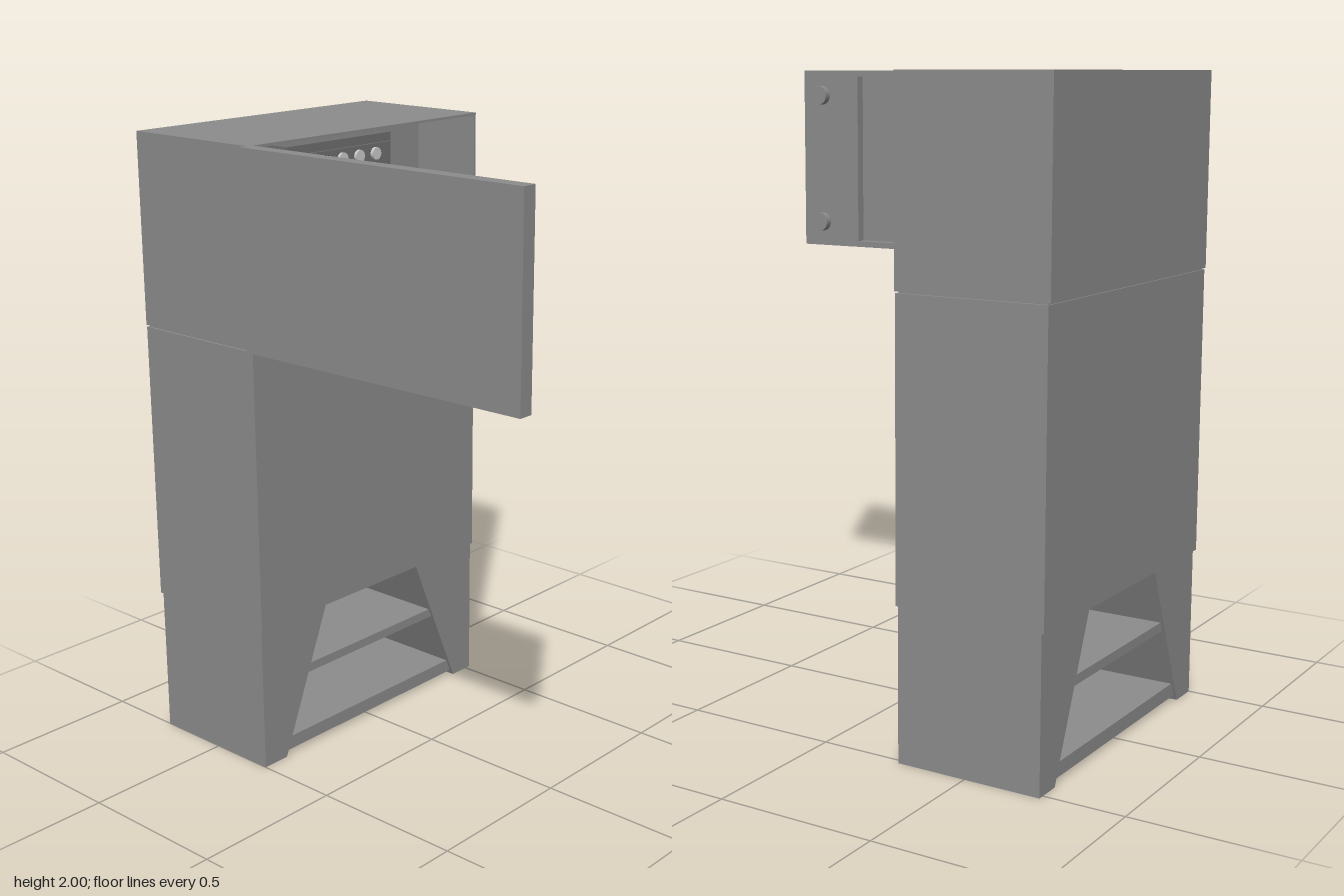
import * as THREE from 'three';

const mat = (color) => new THREE.MeshStandardMaterial({ color });
const M = {
  body: mat(0x8c8c8c), panel: mat(0x707070), light: mat(0xcccccc), black: mat(0x2a2a2a),
  green: mat(0x3f8a1c), red: mat(0xc0392b), yellow: mat(0x9a8a10),
};

function add(parent, name, geometry, material) {
  const mesh = new THREE.Mesh(geometry, material);
  mesh.name = name;
  parent.add(mesh);
  return mesh;
}

// Box given by its limits on each axis
function box(parent, name, x0, x1, y0, y1, z0, z1, material = M.body) {
  const mesh = add(parent, name, new THREE.BoxGeometry(x1 - x0, y1 - y0, z1 - z0), material);
  mesh.position.set((x0 + x1) / 2, (y0 + y1) / 2, (z0 + z1) / 2);
  return mesh;
}

// Round button facing the front
function disc(parent, name, x, y, z, r, depth, material) {
  const mesh = add(parent, name, new THREE.CylinderGeometry(r, r, depth, 24), material);
  mesh.rotation.x = Math.PI / 2;
  mesh.position.set(x, y, z + depth / 2);
  return mesh;
}

// Stand with a trapezoid passage from front to back, and two shelves
function buildBase() {
  const g = new THREE.Group();
  g.name = 'base';
  const z0 = -0.745, z1 = -0.275;
  const legs = [
    ['rightLeg', [[-0.5, 0], [-0.405, 0], [-0.21, 0.48], [-0.5, 0.48]]],
    ['leftLeg', [[0.52, 0], [0.52, 0.48], [0.23, 0.48], [0.43, 0]]],
  ];
  for (const [name, pts] of legs) {
    const shape = new THREE.Shape(pts.map(([x, y]) => new THREE.Vector2(x, y)));
    const geo = new THREE.ExtrudeGeometry(shape, { depth: z1 - z0, bevelEnabled: false });
    add(g, name, geo, M.body).position.z = z0;
  }
  box(g, 'upperShelf', -0.31, 0.33, 0.26, 0.29, z0 + 0.01, z1 - 0.01);
  box(g, 'lowerShelf', -0.4, 0.42, 0.015, 0.06, z0 + 0.01, z1 - 0.01);
  return g;
}

// Open-fronted control compartment
function buildCompartment() {
  const g = new THREE.Group();
  g.name = 'controlCompartment';
  const x0 = -0.5, x1 = 0.522, y0 = 1.392, y1 = 2, zm = -0.51, zf = -0.265, t = 0.008;
  box(g, 'rearHousing', x0, x1, y0, y1, -0.76, zm);
  box(g, 'hoodTop', x0, x1, y1 - t, y1, zm, zf);
  box(g, 'hoodFloor', x0, x1, y0, y0 + t, zm, zf);
  box(g, 'hoodRightWall', x0, x0 + t, y0 + t, y1 - t, zm, zf);
  box(g, 'hoodLeftWall', x1 - t, x1, y0 + t, y1 - t, zm, zf);
  box(g, 'junctionBox', -0.395, -0.255, 1.46, 1.6, zm, -0.44, M.light);
  return g;
}

// Instrument panel with lamps, screen, keys and direction pad
function buildControls() {
  const g = new THREE.Group();
  g.name = 'controlPanel';
  const zp = -0.415, zs = zp + 0.008, zb = zs + 0.008;
  box(g, 'panelHousing', -0.2, 0.27, 1.46, 1.95, -0.51, zp, M.panel);
  box(g, 'lampStrip', -0.185, 0.26, 1.86, 1.922, zp, zs, M.panel);
  box(g, 'keypad', -0.18, 0.255, 1.472, 1.62, zp, zs, M.panel);
  box(g, 'screen', -0.07, 0.137, 1.64, 1.842, zp, zs, M.light);
  for (let i = 0; i < 5; i++) {
    disc(g, 'lamp', -0.12 + i * 0.0765, 1.89, zs, 0.02, 0.01, i < 2 ? M.black : M.light);
  }
  const key = (name, x, y, w, h, m) =>
    box(g, name, x - w / 2, x + w / 2, y - h / 2, y + h / 2, zs, zb, m);
  key('startKey', -0.15, 1.588, 0.04, 0.038, M.green);
  key('stopKey', -0.15, 1.505, 0.04, 0.038, M.red);
  key('menuKey', -0.065, 1.59, 0.036, 0.034, M.light);
  key('menuKey', -0.065, 1.544, 0.036, 0.034, M.light);
  key('wideKey', 0.037, 1.59, 0.068, 0.036, M.light);
  disc(g, 'dial', 0.037, 1.52, zs, 0.035, 0.018, M.black);
  key('padCentre', 0.168, 1.546, 0.04, 0.04, M.light);
  for (const [dx, dy] of [[1, 0], [-1, 0], [0, 1], [0, -1]]) {
    key('padArrow', 0.168 + dx * 0.04, 1.546 + dy * 0.04, 0.04, 0.04, M.green);
  }
  return g;
}

// Main switch with a slanted lever
function buildSwitch() {
  const g = new THREE.Group();
  g.name = 'mainSwitch';
  box(g, 'switchBox', 0.328, 0.46, 1.458, 1.722, -0.51, -0.43, M.panel);
  const lever = add(g, 'switchLever', new THREE.BoxGeometry(0.025, 0.2, 0.025), M.yellow);
  lever.position.set(0.4, 1.655, -0.37);
  lever.rotation.x = Math.atan2(0.14, 0.15);
  return g;
}

// Wide-open door: outer skin, folded rim, lock strip; the hinge edge is the pivot
function buildDoor() {
  const g = new THREE.Group();
  g.name = 'door';
  const y0 = 1.392, y1 = 2, len = 1.028, rim = 0.02, d = 0.047;
  box(g, 'doorSkin', 0, 0.015, y0, y1, 0, len);
  box(g, 'doorTopRim', 0.015, d, y1 - rim, y1, 0, len);
  box(g, 'doorBottomRim', 0.015, d, y0, y0 + rim, 0, len);
  box(g, 'doorHingeRim', 0.015, d, y0 + rim, y1 - rim, 0, 0.01);
  box(g, 'lockStrip', 0.015, d, y0 + rim, y1 - rim, 0.804, len);
  for (const y of [1.475, 1.915]) {
    const lock = add(g, 'doorLock', new THREE.CylinderGeometry(0.032, 0.032, 0.03, 24), M.body);
    lock.rotation.z = Math.PI / 2;
    lock.position.set(d + 0.01, y, 0.952);
  }
  g.position.set(-0.527, 0, -0.268);
  g.rotation.y = 0.011;
  return g;
}

export function createModel() {
  const model = new THREE.Group();
  model.name = 'controlCabinet';
  model.add(buildBase());
  box(model, 'middleHousing', -0.502, 0.525, 0.48, 1.387, -0.755, -0.27);
  box(model, 'jointSeam', -0.495, 0.515, 1.387, 1.392, -0.75, -0.275);
  model.add(buildCompartment(), buildControls(), buildSwitch(), buildDoor());
  return model;
}
